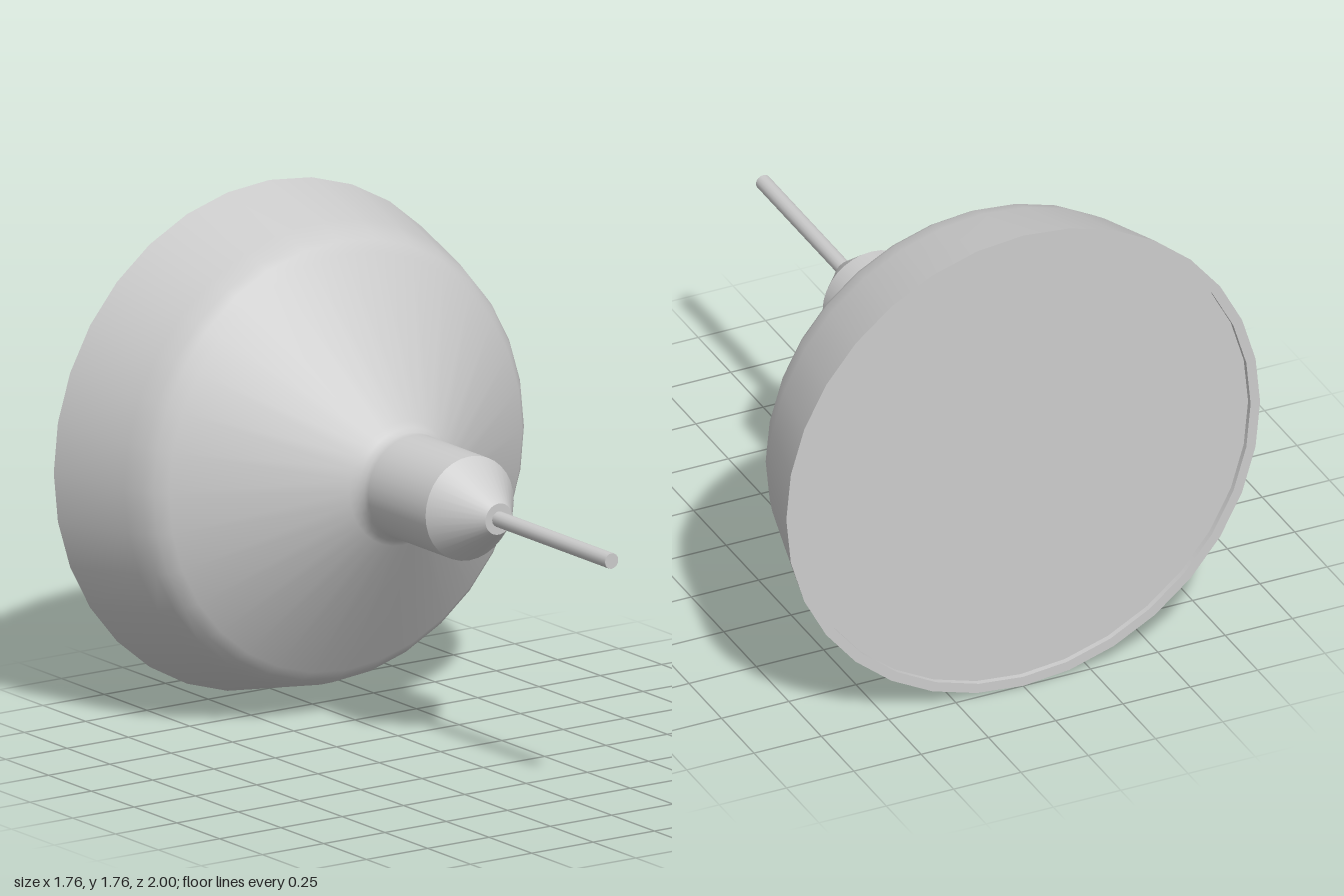
import * as THREE from 'three';

const SIDES = 32;
const AXIS_HEIGHT = 0.88;

export function createModel() {
  const model = new THREE.Group();
  const material = new THREE.MeshStandardMaterial({ color: 0xcccccc });

  // Turns a [radius, z] profile, listed from back to front, around the z axis
  function turned(name, profile, sides = SIDES) {
    const points = profile.map(([r, z]) => new THREE.Vector2(r, z));
    const geometry = new THREE.LatheGeometry(points, sides);
    geometry.rotateX(Math.PI / 2);
    const mesh = new THREE.Mesh(geometry, material);
    mesh.name = name;
    mesh.position.y = AXIS_HEIGHT;
    model.add(mesh);
  }

  // Back: shallow recessed disc inside a narrow flat rim
  turned('backDisc', [[0, -0.98], [0.845, -0.98]]);
  turned('rimInnerWall', [[0.845, -0.98], [0.845, -1]]);
  turned('rim', [[0.845, -1], [0.88, -1]]);

  // Bell, shoulder and neck as one smooth surface
  turned('bell', [
    [0.88, -1], [0.802, -0.7], [0.778, -0.63], [0.755, -0.595], [0.72, -0.555],
    [0.215, -0.225], [0.195, -0.205], [0.183, -0.185], [0.18, -0.165], [0.18, 0.17],
  ]);

  // Tapered nose with a flat tip
  turned('nose', [[0.18, 0.17], [0.054, 0.34]]);
  turned('noseTip', [[0.054, 0.34], [0, 0.34]]);

  // Thin rod
  turned('rod', [[0.027, 0.33], [0.027, 1]], 16);
  turned('rodEnd', [[0.027, 1], [0, 1]], 16);

  return model;
}
